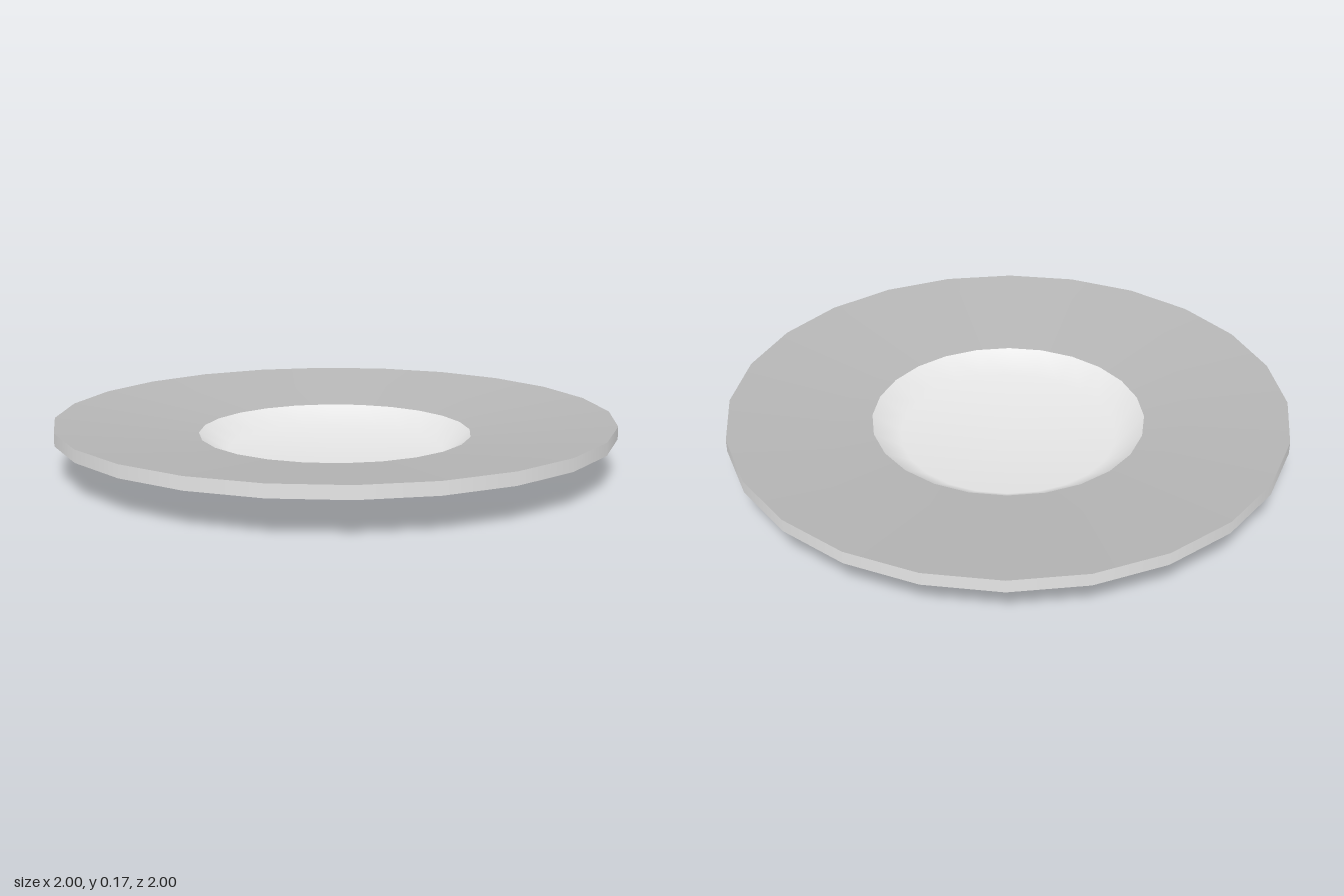
import * as THREE from 'three';

export function createModel() {
  const group = new THREE.Group();
  group.name = 'plate';

  const glaze = new THREE.MeshStandardMaterial({ color: 0xe6e6e6 });
  glaze.name = 'white glaze';
  const grey = new THREE.MeshStandardMaterial({ color: 0xb6b6b6 });
  grey.name = 'grey glaze';

  // Each part is a 24-sided ring turned from [radius, height] points,
  // running up the outside and then inward over the top.
  const turn = (name, profile, material) => {
    const points = profile.map(([r, y]) => new THREE.Vector2(r, y));
    const mesh = new THREE.Mesh(new THREE.LatheGeometry(points, 24), material);
    mesh.name = name;
    group.add(mesh);
  };

  // Flat foot, flared foot wall and shallow underside of the rim
  turn('underside', [[0, 0], [0.39, 0], [0.49, 0.065], [1, 0.125]], glaze);
  // Upright outer edge
  turn('outerEdge', [[1, 0.125], [1, 0.17]], glaze);
  // Broad rim sloping down to the well
  turn('rim', [[1, 0.17], [0.49, 0.11]], grey);
  // Sunken well with a flat floor
  turn('well', [[0.49, 0.11], [0.39, 0.045], [0, 0.045]], glaze);

  return group;
}
